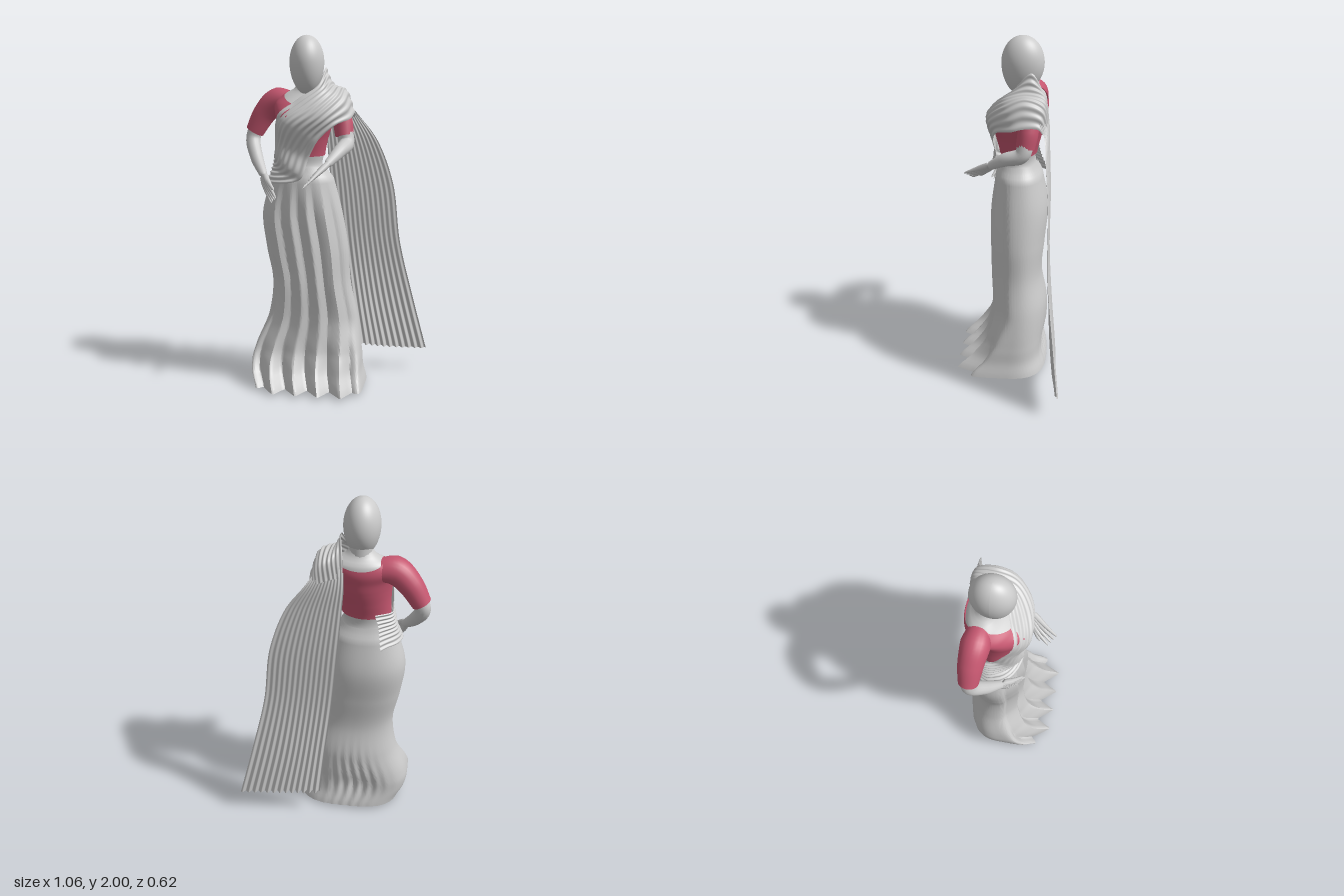
import * as THREE from 'three';
import { toCreasedNormals } from 'three/addons/utils/BufferGeometryUtils.js';

const V = (x, y, z) => new THREE.Vector3(x, y, z);
const grey = new THREE.MeshStandardMaterial({ color: 0xcccccc, side: THREE.DoubleSide });
const red = new THREE.MeshStandardMaterial({ color: 0xc4566f, side: THREE.DoubleSide });
const gauss = (x, w) => Math.exp(-(x * x) / (w * w));
// Eases from 0 at a to 1 at b, in either direction
function ease(a, b, x) {
  const t = THREE.MathUtils.clamp((x - a) / (b - a), 0, 1);
  return t * t * (3 - 2 * t);
}

function add(group, name, geometry, material = grey) {
  const mesh = new THREE.Mesh(geometry, material);
  mesh.name = name;
  group.add(mesh);
}

// Surface from fn(u, v); closed joins the last column to the first
function grid(fn, nu, nv, closed = false) {
  const pos = [], index = [], cols = closed ? nu : nu + 1;
  for (let j = 0; j <= nv; j++)
    for (let i = 0; i < cols; i++) pos.push(...fn(i / nu, j / nv).toArray());
  for (let j = 0; j < nv; j++)
    for (let i = 0; i < nu; i++) {
      const a = j * cols + i, b = j * cols + ((i + 1) % cols), c = a + cols, d = b + cols;
      index.push(a, c, b, b, c, d);
    }
  const g = new THREE.BufferGeometry();
  g.setAttribute('position', new THREE.Float32BufferAttribute(pos, 3));
  g.setIndex(index);
  g.computeVertexNormals();
  return g;
}

// Smoothly interpolated row of a table whose first column is height, falling
function sample(table, y) {
  let k = 0;
  while (k < table.length - 2 && y < table[k + 1][0]) k++;
  const t = THREE.MathUtils.clamp((table[k][0] - y) / (table[k][0] - table[k + 1][0]), 0, 1);
  const at = i => table[THREE.MathUtils.clamp(i, 0, table.length - 1)];
  return table[k].map((_, c) => {
    const p = at(k)[c], q = at(k + 1)[c], m = (q - at(k - 1)[c]) / 2, n = (at(k + 2)[c] - p) / 2;
    return p + m * t + (3 * (q - p) - 2 * m - n) * t * t + (2 * (p - q) + m + n) * t * t * t;
  });
}

// Torso: height, centre x, centre z, half width, half depth
const BODY = [
  [1.74, -0.155, -0.095, 0.055, 0.05], [1.70, -0.155, -0.105, 0.085, 0.06],
  [1.67, -0.155, -0.11, 0.145, 0.085], [1.62, -0.16, -0.085, 0.175, 0.12],
  [1.56, -0.16, -0.05, 0.165, 0.145], [1.50, -0.165, -0.045, 0.15, 0.14],
  [1.42, -0.175, -0.045, 0.135, 0.12], [1.33, -0.185, -0.045, 0.128, 0.1],
  [1.27, -0.19, -0.045, 0.13, 0.1], [1.20, -0.18, -0.047, 0.175, 0.13], [1.15, -0.175, -0.05, 0.195, 0.14]];

function bodyPoint(a, y, grow) {
  const [, cx, cz, rx, rz] = sample(BODY, y);
  const x = Math.cos(a) * (rx + grow), front = Math.max(0, Math.sin(a));
  const bust = 0.025 * front * gauss(y - 1.53, 0.05) * (gauss(x - 0.08, 0.05) + gauss(x + 0.08, 0.05));
  return V(cx + x, y, cz + Math.sin(a) * (rz + grow) + bust);
}

// Tapered limb along a curve
function limb(points, radii, n = 20, sides = 16) {
  const curve = new THREE.CatmullRomCurve3(points.map(p => V(...p)));
  const g = new THREE.TubeGeometry(curve, n, 1, sides);
  const p = g.attributes.position, v = V(0, 0, 0);
  for (let i = 0; i <= n; i++) {
    const c = curve.getPointAt(i / n), f = (i / n) * (radii.length - 1);
    const k = Math.min(Math.floor(f), radii.length - 2);
    const r = i === 0 || i === n ? 0.001 : THREE.MathUtils.lerp(radii[k], radii[k + 1], f - k);
    for (let j = 0; j <= sides; j++) {
      const id = i * (sides + 1) + j;
      v.fromBufferAttribute(p, id).sub(c).multiplyScalar(r).add(c);
      p.setXYZ(id, v.x, v.y, v.z);
    }
  }
  return g;
}

// Hand: four fingers fused at the palm, and a thumb
function hand(group, name, wrist, knuckle, tip, side, thumbSide) {
  const h = new THREE.Group();
  h.name = name;
  const off = (p, k) => p.map((c, i) => c + side[i] * k);
  for (let i = -1.5; i <= 1.5; i++)
    add(h, 'finger', limb([off(wrist, i * 0.009), off(knuckle, i * 0.018), off(tip, i * 0.024)],
      [0.018, 0.018, 0.014, 0.009, 0.006], 12, 8));
  const mid = knuckle.map((c, i) => (c + tip[i]) / 2);
  add(h, 'thumb', limb([wrist, off(knuckle, thumbSide * 0.04), off(mid, thumbSide * 0.055)], [0.016, 0.014, 0.007], 10, 8));
  group.add(h);
}

// Cloth through rows of control points, with folds along its length
function cloth(rows, nu, nv, ripple, settle) {
  const curves = rows.map(r => new THREE.CatmullRomCurve3(r.map(p => V(...p))));
  const columns = Array.from({ length: nu + 1 }, (_, i) =>
    new THREE.CatmullRomCurve3(curves.map(c => c.getPoint(i / nu))));
  const g = grid((u, v) => {
    const p = columns[Math.round(u * nu)].getPoint(v);
    return settle ? settle(p) : p;
  }, nu, nv);
  const p = g.attributes.position, n = g.attributes.normal;
  for (let i = 0; i < p.count; i++) {
    const d = ripple((i % (nu + 1)) / nu, Math.floor(i / (nu + 1)) / nv);
    p.setXYZ(i, p.getX(i) + n.getX(i) * d, p.getY(i) + n.getY(i) * d, p.getZ(i) + n.getZ(i) * d);
  }
  g.computeVertexNormals();
  return g;
}

// Skirt: height, min x, max x, front z, back z
const SKIRT = [
  [1.27, -0.33, -0.05, 0.065, -0.152], [1.2, -0.36, 0, 0.085, -0.185], [1.0, -0.41, 0.05, 0.1, -0.22],
  [0.8, -0.39, 0.085, 0.1, -0.205], [0.6, -0.355, 0.1, 0.095, -0.19], [0.4, -0.38, 0.14, 0.09, -0.222],
  [0.2, -0.45, 0.17, 0.12, -0.215], [0.1, -0.45, 0.18, 0.175, -0.21], [0.015, -0.41, 0.2, 0.26, -0.228]];

function skirtPoint(u, v) {
  const y = THREE.MathUtils.lerp(1.27, 0.015, v), a = u * Math.PI * 2;
  const [, x0, x1, zf, zb] = sample(SKIRT, y);
  const hem = ease(0.4, 0, y), c = Math.cos(a), s = Math.sin(a);
  const n = 2.2 + (s > 0 ? 4 : 0.8) * hem;
  const r = (Math.abs(c) ** n + Math.abs(s) ** n) ** (-1 / n);
  const k = r * c, mid = -0.05 + 0.07 * hem;
  let z = mid + (s > 0 ? zf - mid : mid - zb) * r * s;
  if (s > 0) { // sharp front pleats
    const f = ((k + 0.85) / 0.42 + 10) % 1;
    const tooth = f < 0.62 ? f / 0.62 : (1 - f) / 0.38;
    const amp = 0.028 * ease(1.24, 0.95, y) + 0.07 * ease(0.3, 0, y);
    z += (tooth - 0.5) * amp * ease(0, 0.6, s);
  } else { // gathers low at the back
    z += 0.009 * Math.cos(k * 34) * gauss(k, 0.5) * gauss(y - 0.2, 0.17) * -s;
    z += 0.025 * gauss(k, 0.45) * gauss(y - 0.17, 0.07) * -s;
  }
  return V((x0 + x1) / 2 + k * (x1 - x0) / 2, y, z);
}

export function createModel() {
  const model = new THREE.Group();
  model.name = 'drapedFigure';

  // Smooth egg head narrowing to the chin
  const head = new THREE.SphereGeometry(1, 40, 32), hp = head.attributes.position;
  for (let i = 0; i < hp.count; i++) {
    const y = hp.getY(i), t = Math.max(0, -y);
    hp.setXYZ(i, -0.155 + hp.getX(i) * 0.097 * (1 - 0.08 * t * t),
      1.85 + y * (y > 0 ? 0.15 : 0.18), -0.068 + hp.getZ(i) * 0.118 * (1 - 0.15 * t * t) + 0.015 * t * t);
  }
  head.computeVertexNormals();
  add(model, 'head', head);
  add(model, 'neck', limb([[-0.155, 1.6, -0.11], [-0.155, 1.7, -0.1], [-0.155, 1.82, -0.09]], [0.075, 0.06, 0.068]));

  // Torso and fitted blouse with a scooped neckline
  add(model, 'torso', grid((u, v) => bodyPoint(u * Math.PI * 2, 1.74 - 0.54 * v, 0), 56, 40, true));
  add(model, 'blouse', grid((u, v) => {
    const a = u * Math.PI * 2, s = Math.sin(a);
    const top = 1.69 - (s > 0 ? 0.075 : 0.04) * Math.abs(s) ** 2;
    return bodyPoint(a, THREE.MathUtils.lerp(1.33, top, v), 0.008);
  }, 64, 36, true), red);

  // Sleeves, arms and hands
  add(model, 'rightSleeve', limb([[-0.25, 1.62, -0.12], [-0.34, 1.625, -0.125], [-0.415, 1.56, -0.135], [-0.487, 1.44, -0.14]],
    [0.06, 0.078, 0.07, 0.062, 0.052], 28, 24), red);
  add(model, 'leftSleeve', limb([[-0.06, 1.6, -0.1], [0.005, 1.585, -0.11], [0.04, 1.52, -0.11], [0.055, 1.43, -0.095]],
    [0.05, 0.06, 0.058, 0.056, 0.052], 28, 24), red);
  add(model, 'rightArm', limb([[-0.46, 1.5, -0.138], [-0.49, 1.41, -0.135], [-0.455, 1.31, -0.07], [-0.39, 1.21, 0.015]],
    [0.044, 0.042, 0.036, 0.022]));
  add(model, 'leftArm', limb([[0.053, 1.49, -0.1], [0.07, 1.4, -0.08], [0.045, 1.36, 0.015], [-0.01, 1.295, 0.11]],
    [0.044, 0.044, 0.036, 0.022]));
  hand(model, 'rightHand', [-0.395, 1.22, 0.01], [-0.36, 1.155, 0.06], [-0.315, 1.085, 0.105], [0.5, 0.45, 0.55], 1);
  hand(model, 'leftHand', [-0.005, 1.3, 0.1], [-0.055, 1.25, 0.165], [-0.1, 1.2, 0.24], [0.6, 0.55, 0.55], -1);

  // Long pleated skirt, open at the hem, with feet under it
  add(model, 'skirt', toCreasedNormals(grid(skirtPoint, 240, 70, true), 0.7));
  for (const x of [-0.29, -0.015]) {
    const foot = new THREE.SphereGeometry(1, 20, 12);
    foot.scale(0.042, 0.03, 0.11);
    foot.translate(x, 0.03, 0.03);
    add(model, 'foot', foot);
  }

  // Sash: back of left shoulder, across the chest, round the right hip
  const sash = [
    [[-0.075, 1.6, -0.2], [-0.02, 1.6, -0.215], [0.05, 1.57, -0.215], [0.1, 1.53, -0.19]],
    [[-0.065, 1.74, -0.17], [-0.005, 1.7, -0.195], [0.06, 1.66, -0.19], [0.105, 1.56, -0.165]],
    [[-0.055, 1.82, -0.12], [-0.01, 1.725, -0.1], [0.06, 1.7, -0.09], [0.11, 1.56, -0.08]],
    [[-0.09, 1.72, -0.03], [-0.03, 1.69, 0.02], [0.05, 1.65, 0.02], [0.1, 1.54, -0.02]],
    [[-0.19, 1.65, 0.02], [-0.12, 1.61, 0.1], [-0.04, 1.56, 0.115], [0.03, 1.51, 0.06]],
    [[-0.3, 1.55, 0.05], [-0.24, 1.52, 0.13], [-0.15, 1.47, 0.125], [-0.06, 1.43, 0.09]],
    [[-0.325, 1.45, 0.0], [-0.29, 1.41, 0.07], [-0.22, 1.37, 0.09], [-0.12, 1.32, 0.08]],
    [[-0.33, 1.37, -0.05], [-0.32, 1.32, 0.035], [-0.26, 1.27, 0.09], [-0.16, 1.21, 0.105]],
    [[-0.33, 1.36, -0.1], [-0.345, 1.3, -0.09], [-0.365, 1.24, -0.07], [-0.39, 1.17, -0.05]],
    [[-0.24, 1.36, -0.155], [-0.26, 1.3, -0.165], [-0.27, 1.24, -0.185], [-0.28, 1.17, -0.212]]];
  const overBody = p => { // keep the cloth outside the torso
    const [, cx, cz, rx, rz] = sample(BODY, p.y);
    const d = Math.hypot((p.x - cx) / rx, (p.z - cz) / rz);
    if (p.y < 1.62 && d < 1.12) {
      p.x = cx + (p.x - cx) * 1.12 / d;
      p.z = cz + (p.z - cz) * 1.12 / d;
    }
    return p;
  };
  add(model, 'sash', cloth(sash, 96, 90, u => 0.0035 * Math.sin(u * Math.PI * 17), overBody));

  // Loose end hanging from the shoulder, pleats deepening to the hem
  const tail = [
    [[-0.07, 1.7, -0.18], [0, 1.68, -0.185], [0.08, 1.6, -0.165]],
    [[-0.08, 1.57, -0.215], [0.03, 1.57, -0.215], [0.135, 1.53, -0.2]],
    [[-0.07, 1.4, -0.225], [0.08, 1.41, -0.225], [0.23, 1.4, -0.215]],
    [[-0.05, 1.15, -0.235], [0.13, 1.15, -0.235], [0.32, 1.15, -0.235]],
    [[-0.02, 0.8, -0.235], [0.17, 0.8, -0.24], [0.365, 0.8, -0.24]],
    [[0.02, 0.45, -0.25], [0.22, 0.45, -0.26], [0.445, 0.45, -0.275]],
    [[0.05, 0.15, -0.27], [0.28, 0.135, -0.285], [0.525, 0.13, -0.31]]];
  add(model, 'hangingEnd', cloth(tail, 156, 60, (u, v) =>
    Math.sin(u * Math.PI * 26) * (0.0025 + 0.015 * ease(0.6, 1, v) * (1 - 0.6 * u))));

  return model;
}
